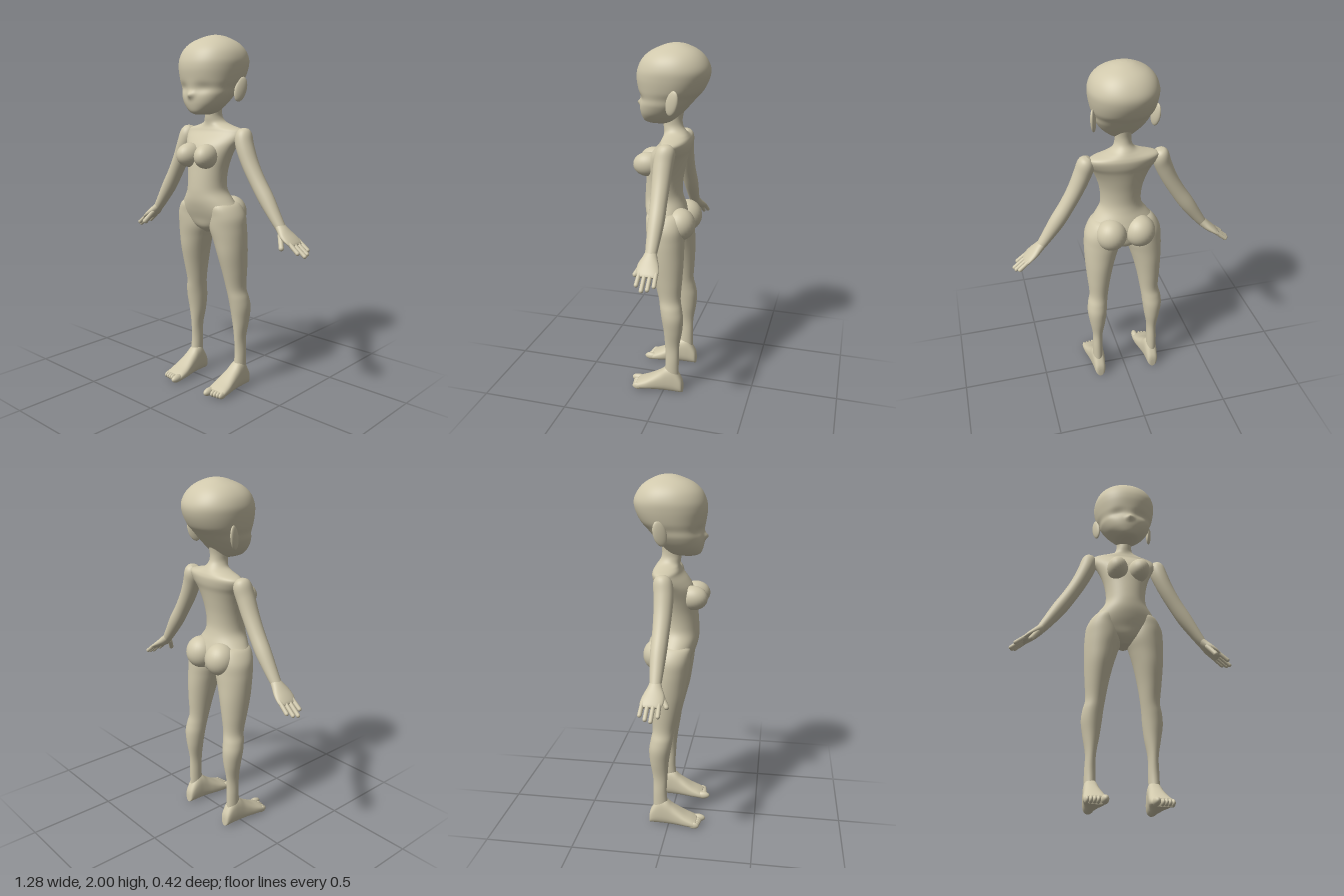
import * as THREE from 'three';

const V = (x, y, z) => new THREE.Vector3(x, y, z);
const X = V(1, 0, 0), Y = V(0, 1, 0), Z = V(0, 0, 1);
const clay = new THREE.MeshStandardMaterial({ color: 0xd0c8ac });
clay.name = 'clay';

// Catmull-Rom smoothing of every column of a table of cross-sections
function smoothRows(rows, steps) {
  const out = [];
  for (let i = 0; i < rows.length - 1; i++) {
    const p = [rows[Math.max(i - 1, 0)], rows[i], rows[i + 1], rows[Math.min(i + 2, rows.length - 1)]];
    for (let s = 0; s < steps; s++) {
      const t = s / steps;
      out.push(rows[i].map((_, k) => {
        const [a, b, c, d] = p.map((r) => r[k]);
        return b + 0.5 * t * (c - a + t * (2 * a - 5 * b + 4 * c - d + t * (3 * (b - c) + d - a)));
      }));
    }
  }
  out.push(rows[rows.length - 1]);
  return out;
}

// Closed skin over rows of [x, y, z, radius along u, radius along v]
function loft(rows, u, v, { power = 2, sides = 32, steps = 5, deform } = {}) {
  const rings = smoothRows(rows, steps), pos = [], index = [], n = rings.length;
  const round = (c) => Math.sign(c) * Math.abs(c) ** (2 / power);
  for (const [x, y, z, a, b] of rings) {
    for (let j = 0; j < sides; j++) {
      const t = (j / sides) * Math.PI * 2;
      const p = V(x, y, z).addScaledVector(u, a * round(Math.cos(t))).addScaledVector(v, b * round(Math.sin(t)));
      if (deform) deform(p);
      pos.push(p.x, p.y, p.z);
    }
  }
  const first = rings[0], last = rings[n - 1];
  pos.push(...first.slice(0, 3), ...last.slice(0, 3));
  const path = V(last[0] - first[0], last[1] - first[1], last[2] - first[2]);
  const flip = path.dot(u.clone().cross(v)) > 0;
  const tri = (a, b, c) => (flip ? index.push(a, c, b) : index.push(a, b, c));
  for (let j = 0; j < sides; j++) {
    const k = (j + 1) % sides;
    for (let i = 0; i < n - 1; i++) {
      const a = i * sides + j, b = i * sides + k;
      tri(a, a + sides, b);
      tri(b, a + sides, b + sides);
    }
    tri(n * sides, j, k);
    tri(n * sides + 1, (n - 1) * sides + k, (n - 1) * sides + j);
  }
  const g = new THREE.BufferGeometry();
  g.setAttribute('position', new THREE.Float32BufferAttribute(pos, 3));
  g.setIndex(index);
  g.computeVertexNormals();
  return g;
}

export function createModel() {
  const model = new THREE.Group();
  model.name = 'mannequin';
  const add = (name, geometry) => {
    const m = new THREE.Mesh(geometry, clay);
    m.name = name;
    model.add(m);
    return m;
  };
  const ball = (name, x, y, z, rx, ry, rz) => {
    const m = add(name, new THREE.SphereGeometry(1, 28, 20));
    m.position.set(x, y, z);
    m.scale.set(rx, ry, rz);
    return m;
  };
  const rod = (name, a, b, r) => {
    const d = b.clone().sub(a), m = add(name, new THREE.CapsuleGeometry(r, d.length() - r, 6, 12));
    m.position.copy(a).add(b).multiplyScalar(0.5);
    m.quaternion.setFromUnitVectors(Y, d.normalize());
  };
  // [y, half width, front z, back z]
  const upright = ([y, w, f, b]) => [0, y, (f + b) / 2, w, (f - b) / 2];

  // Head, with shallow eye hollows and a small nose
  const bump = (p, x, y, sx, sy) => Math.exp(-(((p.x - x) / sx) ** 2) - ((p.y - y) / sy) ** 2);
  add('head', loft([
    [1.575, 0.03, 0.125, 0.02], [1.59, 0.068, 0.152, -0.02], [1.63, 0.112, 0.167, -0.06],
    [1.68, 0.142, 0.173, -0.105], [1.72, 0.153, 0.175, -0.14], [1.76, 0.168, 0.178, -0.175],
    [1.82, 0.18, 0.185, -0.203], [1.87, 0.181, 0.178, -0.208], [1.92, 0.162, 0.152, -0.185],
    [1.96, 0.122, 0.105, -0.145], [1.99, 0.06, 0.035, -0.085], [2.0, 0.015, -0.01, -0.04],
  ].map(upright), X, Z, {
    power: 2.15, sides: 64, steps: 7,
    deform: (p) => {
      if (p.z < 0.05) return;
      p.z -= 0.014 * (bump(p, 0.07, 1.715, 0.05, 0.03) + bump(p, -0.07, 1.715, 0.05, 0.03));
      p.z += 0.02 * bump(p, 0, 1.68, 0.018, 0.018);
    },
  }));

  // Neck, shoulders, trunk and pelvis
  add('torso', loft([
    [0.915, 0.03, 0.05, -0.05], [0.95, 0.12, 0.09, -0.09], [1.0, 0.2, 0.11, -0.1],
    [1.05, 0.196, 0.13, -0.1], [1.1, 0.158, 0.144, -0.085], [1.15, 0.122, 0.148, -0.068],
    [1.2, 0.114, 0.146, -0.06], [1.27, 0.121, 0.14, -0.065], [1.34, 0.14, 0.132, -0.078],
    [1.4, 0.165, 0.112, -0.092], [1.44, 0.186, 0.085, -0.105], [1.475, 0.195, 0.055, -0.11],
    [1.495, 0.18, 0.045, -0.106], [1.512, 0.115, 0.04, -0.097], [1.53, 0.065, 0.04, -0.085],
    [1.56, 0.046, 0.044, -0.065], [1.6, 0.045, 0.045, -0.06], [1.65, 0.05, 0.04, -0.07],
  ].map(upright), X, Z, { sides: 48 }));

  for (const s of [1, -1]) {
    const side = s > 0 ? 'left' : 'right';
    const at = (x, y, z) => V(s * x, y, z);
    const mirror = ([x, ...rest]) => [s * x, ...rest];

    const ear = ball(side + 'Ear', s * 0.165, 1.71, -0.045, 0.014, 0.068, 0.036);
    ear.rotation.set(-0.3, s * -0.35, s * -0.12);
    const chest = ball(side + 'Chest', s * 0.062, 1.352, 0.118, 0.06, 0.067, 0.082);
    chest.rotation.y = s * 0.15;
    ball(side + 'Seat', s * 0.082, 1.025, -0.068, 0.088, 0.092, 0.088);

    // Leg: [y, inner x, outer x, front z, back z]
    add(side + 'Leg', loft([
      [0.09, 0.143, 0.203, 0.0, -0.09], [0.2, 0.143, 0.203, -0.012, -0.09],
      [0.3, 0.142, 0.2, -0.008, -0.092], [0.4, 0.125, 0.216, 0.0, -0.108],
      [0.48, 0.114, 0.227, 0.012, -0.113], [0.54, 0.108, 0.222, 0.022, -0.104],
      [0.6, 0.1, 0.209, 0.032, -0.094], [0.7, 0.083, 0.216, 0.057, -0.1],
      [0.8, 0.06, 0.223, 0.082, -0.105], [0.88, 0.036, 0.226, 0.095, -0.105],
      [0.95, 0.014, 0.225, 0.106, -0.105], [1.02, 0.025, 0.216, 0.112, -0.1],
      [1.08, 0.04, 0.178, 0.11, -0.08], [1.1, 0.08, 0.13, 0.06, -0.03],
    ].map(([y, i, o, f, b]) => [s * (i + o) / 2, y, (f + b) / 2, (o - i) / 2, (f - b) / 2]), X, Z));

    // Foot: [z, inner x, outer x, top y]
    add(side + 'Foot', loft([
      [-0.115, 0.155, 0.185, 0.05], [-0.105, 0.14, 0.2, 0.09], [-0.06, 0.132, 0.208, 0.16],
      [-0.02, 0.128, 0.212, 0.16], [0.02, 0.122, 0.216, 0.128], [0.06, 0.114, 0.222, 0.1],
      [0.1, 0.108, 0.228, 0.075], [0.14, 0.107, 0.23, 0.055], [0.165, 0.11, 0.228, 0.042],
    ].map(([z, i, o, t]) => [s * (i + o) / 2, t / 2, z, (o - i) / 2, t / 2]), X, Y, { power: 2.5 }));
    ball(side + 'BigToe', s * 0.129, 0.024, 0.168, 0.02, 0.023, 0.043);
    for (let i = 0; i < 4; i++)
      ball(side + 'Toe', s * (0.161 + i * 0.0185), 0.022, 0.162 - i * 0.003, 0.0125, 0.02, 0.03);

    // Arm: [x, y, z, radius in z, radius across]
    add(side + 'Arm', loft([
      [0.187, 1.497, -0.025, 0.02, 0.015], [0.196, 1.482, -0.025, 0.042, 0.038],
      [0.207, 1.452, -0.022, 0.053, 0.05], [0.227, 1.395, -0.016, 0.053, 0.049],
      [0.265, 1.31, -0.015, 0.049, 0.045], [0.315, 1.222, -0.017, 0.045, 0.043],
      [0.372, 1.135, -0.02, 0.043, 0.043], [0.43, 1.05, -0.02, 0.036, 0.034],
      [0.472, 0.992, -0.02, 0.03, 0.026], [0.495, 0.97, -0.02, 0.025, 0.018],
    ].map(mirror), Z, at(0.85, 0.52, 0)));

    // Hand with four fingers and a thumb
    add(side + 'Hand', loft([
      [0.45, 1.015, -0.02, 0.026, 0.024], [0.48, 0.985, -0.02, 0.038, 0.026],
      [0.51, 0.958, -0.02, 0.054, 0.024], [0.54, 0.936, -0.024, 0.06, 0.019],
      [0.562, 0.919, -0.028, 0.056, 0.014], [0.572, 0.912, -0.028, 0.045, 0.008],
    ].map(mirror), Z, at(0.6, 0.8, 0)));
    for (const [z0, z1, x] of [[-0.071, -0.077, 0.61], [-0.043, -0.047, 0.627], [-0.014, -0.017, 0.634], [0.014, 0.016, 0.612]])
      rod(side + 'Finger', at(0.545, 0.933, z0), at(x, 0.933 - (x - 0.545) * 0.8, z1), 0.0115);
    rod(side + 'Thumb', at(0.488, 0.965, 0.008), at(0.53, 0.897, 0.05), 0.014);
  }
  return model;
}
